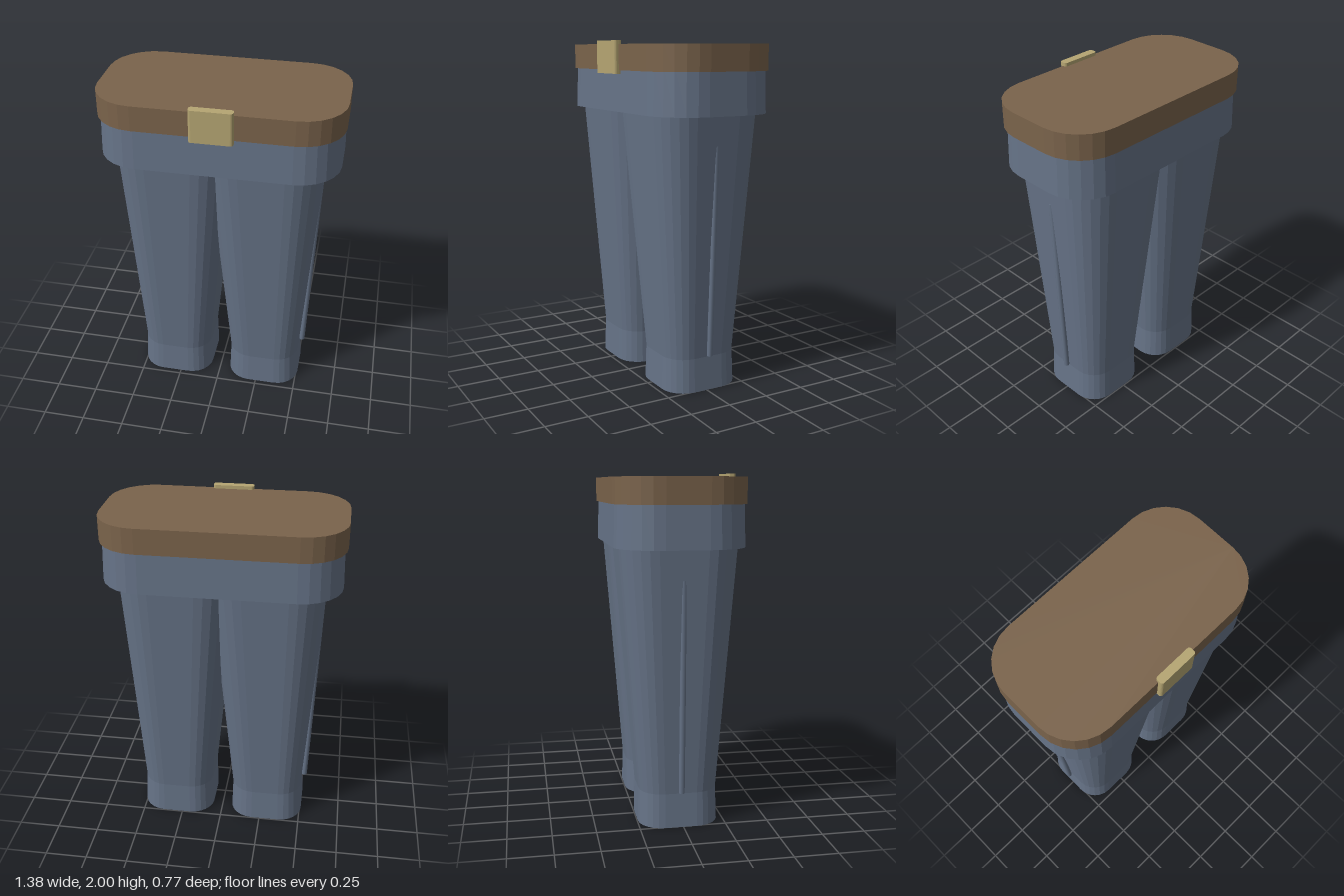
import * as THREE from 'three';

const CORNER_STEPS = 6;
const MID_Z = -0.013;

// Corner points of a rounded rectangle lying flat at height y
function ring({ y, x = 0, z = MID_Z, hx, hz, r }) {
  const points = [];
  const corners = [[1, 1], [-1, 1], [-1, -1], [1, -1]];
  corners.forEach(([sx, sz], c) => {
    for (let i = 0; i <= CORNER_STEPS; i++) {
      const a = (c + i / CORNER_STEPS) * Math.PI / 2;
      points.push(new THREE.Vector3(
        x + sx * (hx - r) + r * Math.cos(a), y,
        z + sz * (hz - r) + r * Math.sin(a)));
    }
  });
  return points;
}

// Capped, faceted solid through a stack of sections listed from bottom to top
function loft(sections) {
  const rings = sections.map(ring);
  const n = rings[0].length;
  const tris = [];
  for (let k = 0; k < rings.length - 1; k++) {
    for (let i = 0; i < n; i++) {
      const j = (i + 1) % n;
      const a = rings[k][i], b = rings[k][j], c = rings[k + 1][j], d = rings[k + 1][i];
      tris.push(a, d, c, a, c, b);
    }
  }
  const bottom = rings[0], top = rings[rings.length - 1];
  for (let i = 1; i < n - 1; i++) {
    tris.push(bottom[0], bottom[i], bottom[i + 1]);
    tris.push(top[0], top[i + 1], top[i]);
  }
  const geometry = new THREE.BufferGeometry().setFromPoints(tris);
  geometry.computeVertexNormals();
  return geometry;
}

export function createModel() {
  const cloth = new THREE.MeshStandardMaterial({ color: 0x667387 });
  cloth.name = 'slate cloth';
  const leather = new THREE.MeshStandardMaterial({ color: 0x7a634b });
  leather.name = 'brown leather';
  const brass = new THREE.MeshStandardMaterial({ color: 0xb5a572 });
  brass.name = 'pale brass';

  const model = new THREE.Group();
  model.name = 'trousers';
  const add = (name, geometry, material) => {
    const mesh = new THREE.Mesh(geometry, material);
    mesh.name = name;
    model.add(mesh);
    return mesh;
  };

  // Hips
  add('hips', loft([
    { y: 1.6, hx: 0.68, hz: 0.364, r: 0.245 },
    { y: 1.86, hx: 0.672, hz: 0.357, r: 0.24 },
  ]), cloth);

  // Belt and buckle
  add('belt', loft([
    { y: 1.835, hx: 0.69, hz: 0.37, r: 0.25 },
    { y: 1.98, hx: 0.69, hz: 0.37, r: 0.25 },
  ]), leather);
  add('buckle', loft([
    { y: 1.815, z: 0.36, hx: 0.12, hz: 0.024, r: 0.016 },
    { y: 2, z: 0.36, hx: 0.12, hz: 0.024, r: 0.016 },
  ]), brass);

  for (const [side, s] of [['left', 1], ['right', -1]]) {
    // Leg with a slightly flared cuff
    add(side + 'Leg', loft([
      { y: 0, x: s * 0.285, hx: 0.225, hz: 0.233, r: 0.14 },
      { y: 0.2, x: s * 0.283, hx: 0.217, hz: 0.227, r: 0.135 },
      { y: 1.65, x: s * 0.26, hx: 0.333, hz: 0.338, r: 0.2 },
    ]), cloth);

    // Outer seam, sinking into the leg towards its top
    const low = new THREE.Vector3(s * 0.518, 0.21, MID_Z);
    const high = new THREE.Vector3(s * 0.565, 1.43, MID_Z);
    const dir = high.clone().sub(low);
    const seam = add(side + 'Seam',
      new THREE.CylinderGeometry(0.017, 0.017, dir.length(), 8), cloth);
    seam.position.copy(low).add(high).multiplyScalar(0.5);
    seam.quaternion.setFromUnitVectors(new THREE.Vector3(0, 1, 0), dir.normalize());
  }

  return model;
}
